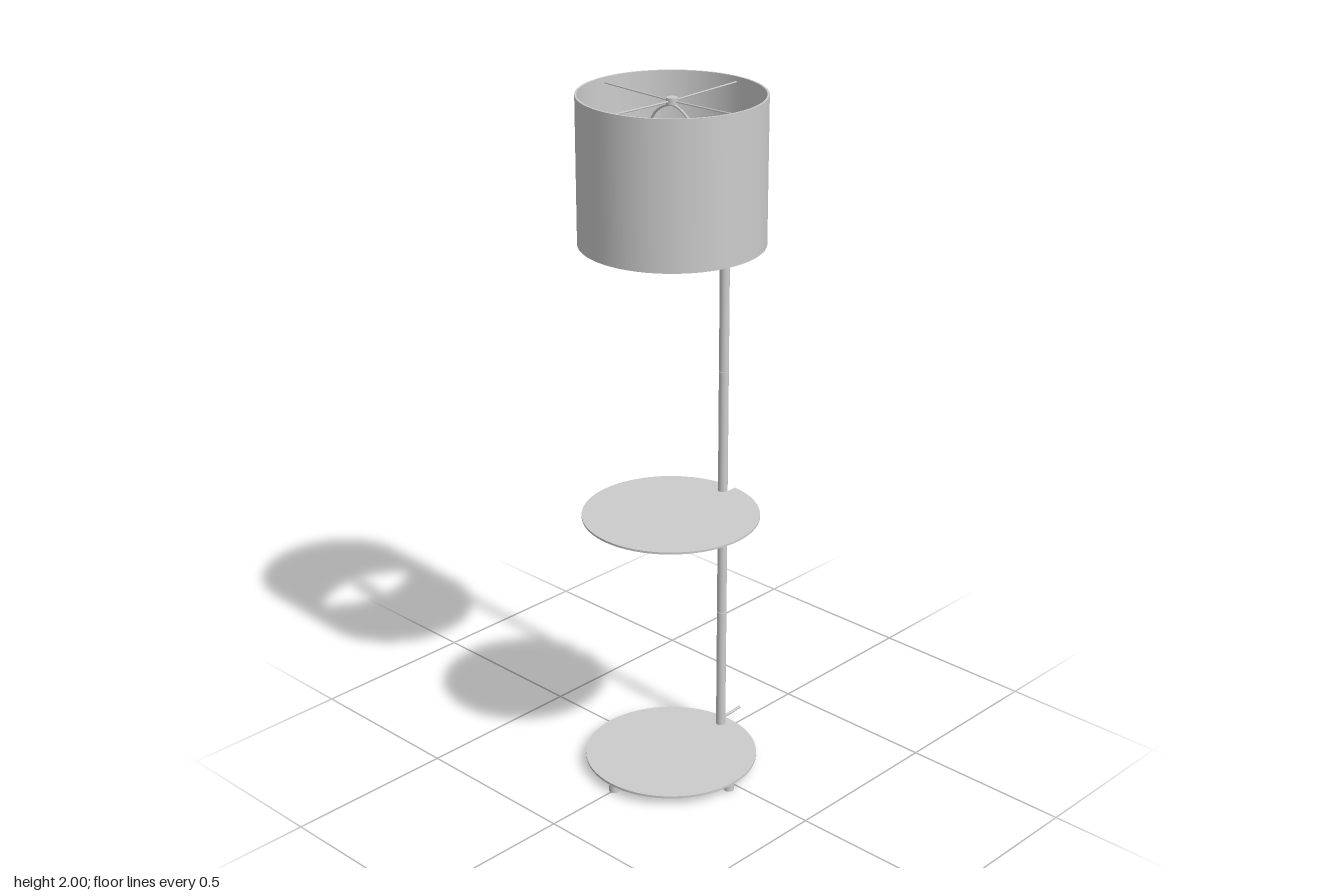
import * as THREE from 'three';

export function createModel() {
  const model = new THREE.Group();
  const grey = new THREE.MeshStandardMaterial({ color: 0xcccccc });
  grey.name = 'light grey';

  const CZ = 0.0185;   // axis of shade and light fitting
  const PLATE_Z = 0.025; // axis of shelf and base
  const POLE_Z = -0.19;
  const ARM_Y = 1.657;

  const add = (name, geo, x = 0, y = 0, z = 0) => {
    const mesh = new THREE.Mesh(geo, grey);
    mesh.name = name;
    mesh.position.set(x, y, z);
    model.add(mesh);
    return mesh;
  };
  const cylinder = (name, r, y0, y1, x, z, sides = 24) =>
    add(name, new THREE.CylinderGeometry(r, r, y1 - y0, sides), x, (y0 + y1) / 2, z);
  const rodZ = (name, r, z0, z1, y) => {
    const rod = cylinder(name, r, 0, z1 - z0, 0, 0, 16);
    rod.rotation.x = Math.PI / 2;
    rod.position.set(0, y, (z0 + z1) / 2);
  };

  // Base plate on four feet
  cylinder('basePlate', 0.25, 0.023, 0.03, 0, PLATE_Z, 64);
  for (let i = 0; i < 4; i++) {
    const a = i * Math.PI / 2;
    cylinder('foot', 0.015, 0, 0.023, 0.233 * Math.cos(a), 0.028 + 0.233 * Math.sin(a), 20);
  }

  // Pole in screwed sections
  const joints = [0.03, 0.41, 0.797, 1.17, 1.55, 1.675];
  for (let i = 0; i < joints.length - 1; i++) {
    cylinder('poleSection', 0.014, joints[i], joints[i + 1] - 0.002, 0, POLE_Z);
    cylinder('poleJoint', 0.011, joints[i + 1] - 0.004, joints[i + 1], 0, POLE_Z);
  }
  cylinder('poleCap', 0.014, 1.673, 1.677, 0, POLE_Z);

  // Round shelf with a slot for the pole
  const R = 0.25, slot = 0.016, slotEnd = PLATE_Z - POLE_Z;
  const edge = Math.acos(slot / R);
  const outline = new THREE.Shape();
  outline.absarc(0, 0, R, Math.PI - edge, Math.PI * 2 + edge, false);
  outline.lineTo(slot, slotEnd);
  outline.absarc(0, slotEnd, slot, 0, -Math.PI, true);
  outline.closePath();
  const shelf = new THREE.ExtrudeGeometry(outline, { depth: 0.006, bevelEnabled: false, curveSegments: 64 });
  shelf.rotateX(-Math.PI / 2);
  add('shelf', shelf, 0, 0.796, PLATE_Z);

  // Power cord leaving the pole foot
  const cordPath = new THREE.CatmullRomCurve3([
    new THREE.Vector3(0, 0.047, POLE_Z),
    new THREE.Vector3(0, 0.047, -0.235),
    new THREE.Vector3(-0.004, 0.047, -0.278),
  ]);
  add('cord', new THREE.TubeGeometry(cordPath, 12, 0.004, 8));

  // Open drum shade: separate walls and rims keep the edges sharp
  const ring = (name, a, b) => add(name,
    new THREE.LatheGeometry([new THREE.Vector2(...a), new THREE.Vector2(...b)], 64), 0, 0, CZ);
  const rOut = 0.253, rIn = 0.247;
  ring('shadeOuterWall', [rOut, 1.595], [rOut, 2]);
  ring('shadeTopRim', [rOut, 2], [rIn, 2]);
  ring('shadeInnerWall', [rIn, 2], [rIn, 1.595]);
  ring('shadeBottomRim', [rIn, 1.595], [rOut, 1.595]);

  // Wire spider holding the shade
  const wire = (name, x, z) => {
    const path = new THREE.LineCurve3(new THREE.Vector3(0, 1.98, CZ), new THREE.Vector3(x, 1.985, CZ + z));
    add(name, new THREE.TubeGeometry(path, 1, 0.0025, 8));
  };
  for (const s of [-1, 1]) {
    wire('spiderWire', s * 0.249, 0);
    wire('spiderWire', 0, s * 0.249);
  }
  cylinder('finial', 0.016, 1.972, 1.99, 0, CZ);

  // Arm from pole to lamp socket
  rodZ('arm', 0.012, POLE_Z, CZ, ARM_Y);
  cylinder('socket', 0.02, ARM_Y, 1.735, 0, CZ);

  // Bulb
  const bulb = [[0.014, 0], [0.016, 0.02], [0.026, 0.05], [0.03, 0.075], [0.026, 0.095], [0.015, 0.107], [0, 0.11]];
  add('bulb', new THREE.LatheGeometry(bulb.map(p => new THREE.Vector2(...p)), 32), 0, 1.73, CZ);

  // Harp arching over the bulb
  const half = [[0.02, 1.69], [0.055, 1.71], [0.08, 1.78], [0.085, 1.86], [0.065, 1.935]];
  const harpPoints = [
    ...half.map(([x, y]) => new THREE.Vector3(-x, y, CZ)),
    new THREE.Vector3(0, 1.97, CZ),
    ...half.slice().reverse().map(([x, y]) => new THREE.Vector3(x, y, CZ)),
  ];
  add('harp', new THREE.TubeGeometry(new THREE.CatmullRomCurve3(harpPoints), 48, 0.0035, 8));
  add('harpSaddle', new THREE.BoxGeometry(0.06, 0.006, 0.014), 0, 1.69, CZ);

  return model;
}
